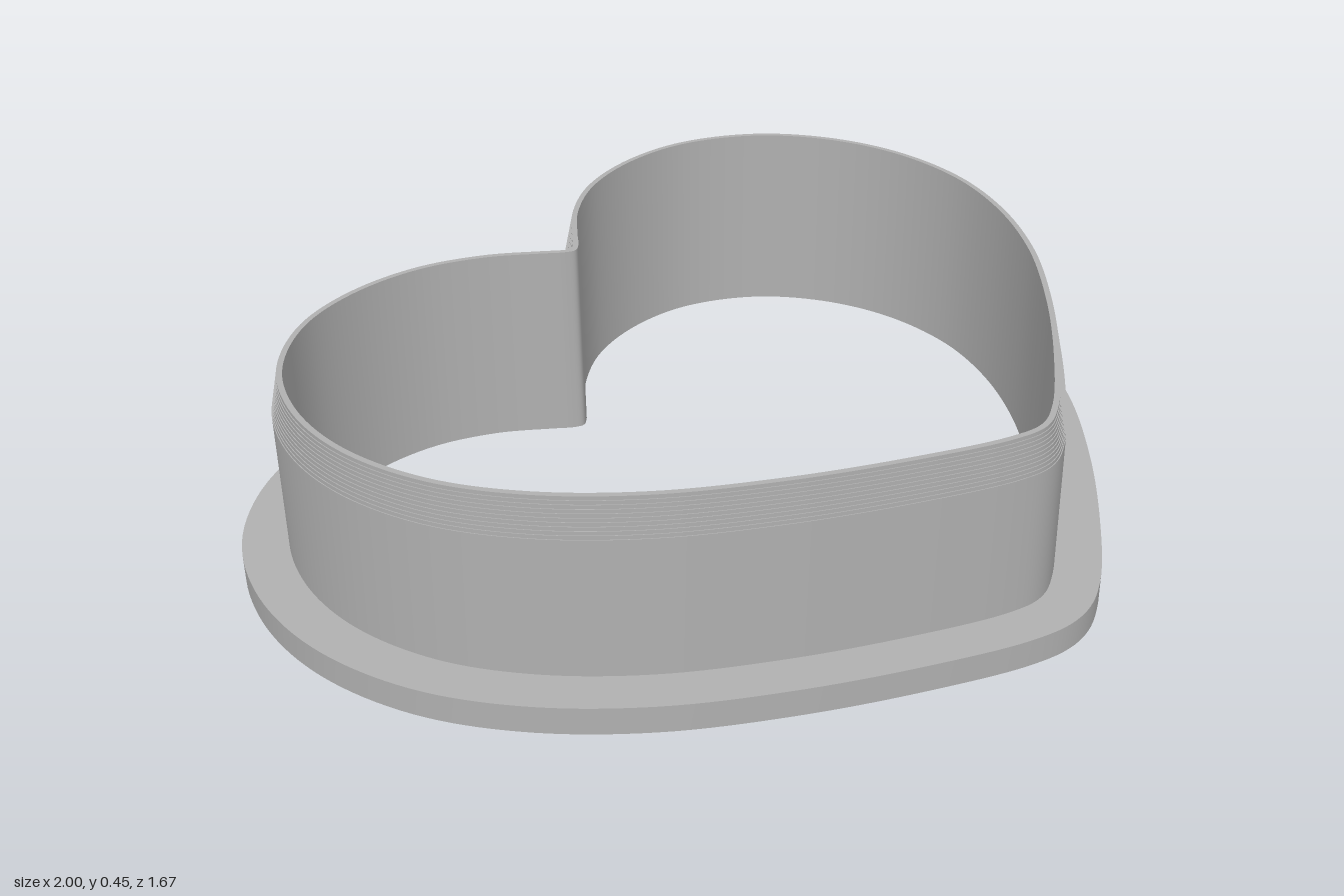
import * as THREE from 'three';

const HALF = 136; // samples along one half of the heart

// Right half of the heart opening as [x, z], from the cleft round to the tip
const HALF_HEART = [
  [0, -0.485], [0.022, -0.496], [0.06, -0.533], [0.15, -0.615], [0.28, -0.685], [0.44, -0.71],
  [0.6, -0.68], [0.75, -0.575], [0.84, -0.425], [0.875, -0.25], [0.85, -0.06], [0.77, 0.11],
  [0.635, 0.28], [0.45, 0.44], [0.25, 0.58], [0.07, 0.685], [0, 0.705],
];

const mirrored = HALF_HEART.slice(1, -1).reverse().map(([x, z]) => [-x, z]);
const heart = new THREE.CatmullRomCurve3(
  [...HALF_HEART, ...mirrored].map(([x, z]) => new THREE.Vector3(x, 0, z)), true);

// Heart outline moved outwards by d, trimmed where the halves would cross at the cleft
function outline(d) {
  const half = [];
  for (let i = 0; i <= HALF; i++) {
    const u = i / (2 * HALF);
    const p = heart.getPoint(u), t = heart.getTangent(u);
    half.push([p.x + t.z * d, p.z - t.x * d]);
  }
  half[0][0] = half[HALF][0] = 0;
  let last = 0;
  for (let i = 1; i < HALF / 2; i++) if (half[i][0] < 0) last = i;
  if (last > 0) {
    const [a, b] = [half[last], half[last + 1]];
    const z = a[1] + (b[1] - a[1]) * (-a[0] / (b[0] - a[0]));
    for (let i = 0; i <= last; i++) half[i] = [0, z];
  }
  return [...half, ...half.slice(1, -1).reverse().map(([x, z]) => [-x, z])];
}

// Sweeps a section of [offset, height] points round the heart, with a crease at each point
function sweep(section, material, name) {
  const pos = [], index = [], n = 2 * HALF;
  const addRing = ([d, y]) => outline(d).forEach(([x, z]) => pos.push(x, y, z));
  for (let s = 0; s < section.length - 1; s++) {
    const base = pos.length / 3;
    addRing(section[s]);
    addRing(section[s + 1]);
    for (let i = 0; i < n; i++) {
      const j = (i + 1) % n;
      const a = base + i, b = base + j, c = a + n, e = b + n;
      index.push(a, c, b, b, c, e);
    }
  }
  const geo = new THREE.BufferGeometry();
  geo.setAttribute('position', new THREE.Float32BufferAttribute(pos, 3));
  geo.setIndex(index);
  geo.computeVertexNormals();
  const mesh = new THREE.Mesh(geo, material);
  mesh.name = name;
  return mesh;
}

export function createModel() {
  const group = new THREE.Group();
  group.name = 'heartCutter';
  const grey = new THREE.MeshStandardMaterial({ color: 0xb0b0b0 });
  grey.name = 'grey';

  // Wide flat rim at the bottom
  group.add(sweep([[0, 0], [0.125, 0], [0.125, 0.06], [0.03, 0.06]], grey, 'baseFlange'));

  // Thin wall whose outside narrows to the cutting edge in fine steps
  const wall = [[0.03, 0.06]];
  const steps = 10, low = 0.365, top = 0.447;
  for (let i = 0; i <= steps; i++) {
    const d = 0.03 - 0.018 * (i / steps);
    if (i > 0) wall.push([d, wall[wall.length - 1][1]]);
    wall.push([d, low + (top - low) * (i / steps)]);
  }
  wall.push([0, top], [0, 0]);
  group.add(sweep(wall, grey, 'cutterWall'));

  return group;
}
